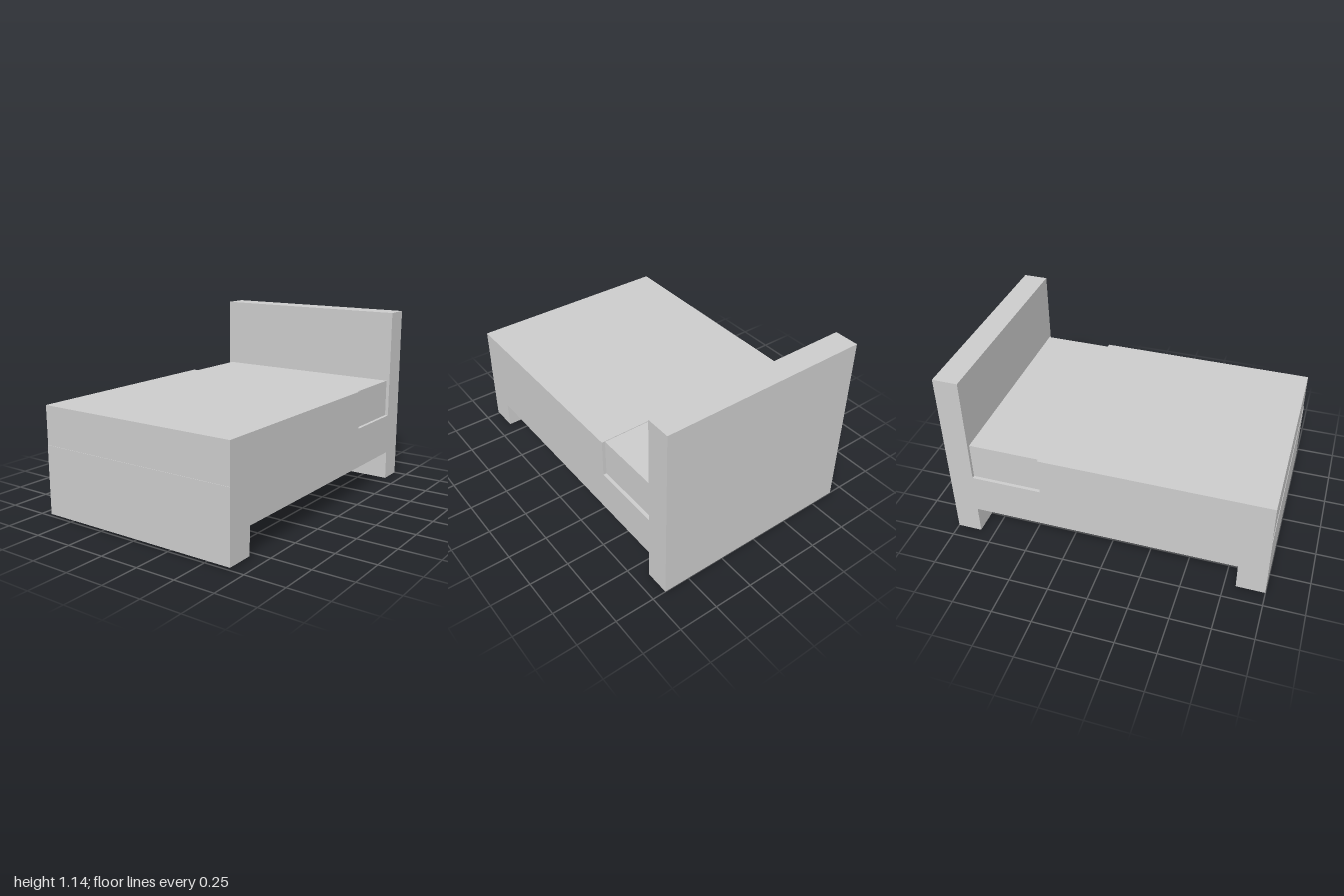
import * as THREE from 'three';

const material = new THREE.MeshStandardMaterial({ color: 0xcccccc, flatShading: true });

// Box given by its half width and its y and z ranges
function slab(name, halfWidth, y0, y1, z0, z1) {
  const mesh = new THREE.Mesh(new THREE.BoxGeometry(halfWidth * 2, y1 - y0, z1 - z0), material);
  mesh.name = name;
  mesh.position.set(0, (y0 + y1) / 2, (z0 + z1) / 2);
  return mesh;
}

export function createModel() {
  const bed = new THREE.Group();
  bed.name = 'bed';
  const half = 0.664;

  // Headboard panel reaching the floor
  bed.add(slab('headboard', half, 0, 1.145, -1, -0.845));

  // Bed base and foot panel as one stepped side profile, extruded across the width
  const profile = new THREE.Shape([
    [-0.845, 0.186], [0.822, 0.186], [0.822, 0.015], [1, 0.015], [1, 0.447], [-0.845, 0.447],
  ].map(([z, y]) => new THREE.Vector2(-z, y)));
  const frameGeometry = new THREE.ExtrudeGeometry(profile, { depth: half * 2, bevelEnabled: false });
  frameGeometry.translate(0, 0, -half).rotateY(Math.PI / 2);
  const frame = new THREE.Mesh(frameGeometry, material);
  frame.name = 'bedFrame';
  bed.add(frame);

  // Narrower mattress showing at the head end
  bed.add(slab('mattress', 0.643, 0.447, 0.686, -0.845, -0.4));

  // Blanket covering the rest, flush with the frame
  bed.add(slab('blanket', half, 0.447, 0.69, -0.402, 0.997));

  return bed;
}
